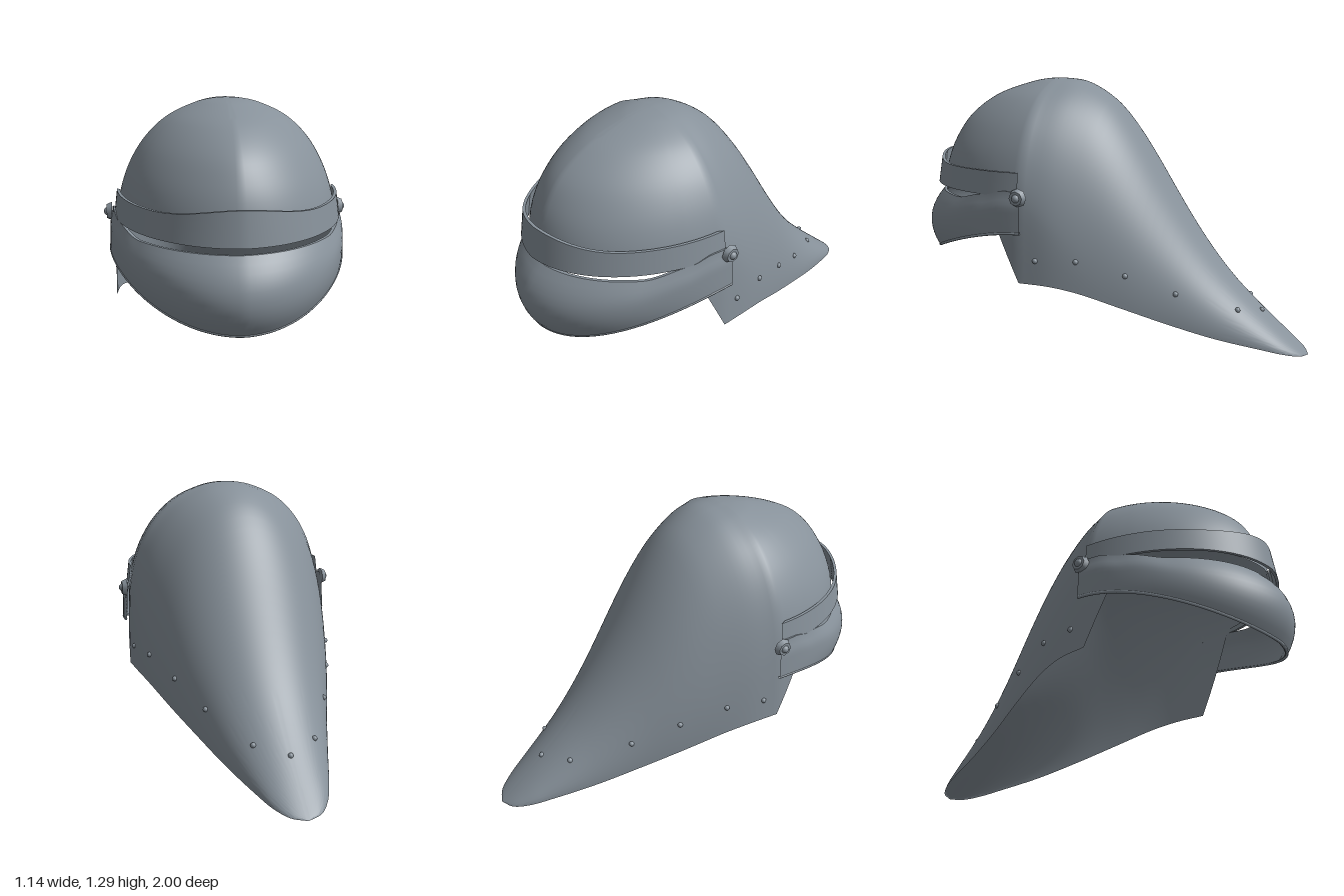
import * as THREE from 'three';
import { toCreasedNormals } from 'three/addons/utils/BufferGeometryUtils.js';

const steel = new THREE.MeshStandardMaterial({ color: 0x87919a, side: THREE.DoubleSide });
const { lerp, smoothstep } = THREE.MathUtils;
const TOP = 1.29, CZ = 0.27; // crown height and its z
const curve = pts => new THREE.CatmullRomCurve3(pts.map(p => new THREE.Vector3(...p)));

// parameter in 0..1 where the rising function f reaches the target
function solve(f, target) {
  let lo = 0, hi = 1;
  for (let i = 0; i < 30; i++) {
    const mid = (lo + hi) / 2;
    if (f(mid) < target) lo = mid; else hi = mid;
  }
  return (lo + hi) / 2;
}

// sheet of nu x nv cells; f(u, v) gives [x, y, z], u from -1 to 1, v from 0 to 1
function sheet(nu, nv, f, crease) {
  const pos = [], index = [];
  for (let i = 0; i <= nu; i++)
    for (let j = 0; j <= nv; j++) pos.push(...f((2 * i) / nu - 1, j / nv));
  for (let i = 0; i < nu; i++)
    for (let j = 0; j < nv; j++) {
      const a = i * (nv + 1) + j, b = a + nv + 1;
      index.push(a, a + 1, b, b, a + 1, b + 1);
    }
  const g = new THREE.BufferGeometry();
  g.setAttribute('position', new THREE.Float32BufferAttribute(pos, 3));
  g.setIndex(index);
  return toCreasedNormals(g, crease);
}

// skull profiles: (side reach, height, front reach) and (back reach, height)
const sideFront = curve([
  [0, 1.29, 0], [0.07, 1.285, 0.075], [0.14, 1.269, 0.16], [0.282, 1.2, 0.36], [0.383, 1.1, 0.5],
  [0.443, 1, 0.57], [0.48, 0.9, 0.61], [0.505, 0.78, 0.632], [0.516, 0.6, 0.636], [0.52, 0.36, 0.64]]);
const back = curve([
  [0, 1.29, 0], [0.12, 1.275, 0], [0.27, 1.19, 0], [0.37, 1.08, 0], [0.47, 0.935, 0], [0.57, 0.775, 0],
  [0.67, 0.62, 0], [0.77, 0.48, 0], [0.87, 0.36, 0], [0.97, 0.26, 0], [1.07, 0.17, 0], [1.27, 0, 0]]);
// lower rim from the cheek to the tip of the tail
const rim = curve([
  [0.52, 0.36, 0.27], [0.503, 0.352, 0.13], [0.47, 0.325, 0], [0.4, 0.252, -0.2], [0.32, 0.174, -0.4],
  [0.245, 0.106, -0.6], [0.17, 0.054, -0.8], [0.125, 0.027, -0.9], [0.07, 0.008, -0.97], [0, 0, -1]]);

const SPLIT = 0.45; // share of the half skull lying ahead of the ears
function skullPoint(p, t) {
  const q = Math.abs(p), sign = Math.sign(p);
  const s = Math.sin((t * Math.PI) / 2);
  const tau = t === 0 ? 0 : t === 1 ? 1 : solve(k => sideFront.getPoint(k).x, 0.52 * s);
  if (q <= SPLIT) {
    // front: level sections with soft ridges ahead and at the sides, cut away for the face
    const a = (q / SPLIT) * Math.PI / 2;
    const cut = Math.min(0.78, 0.36 + 1.33 * Math.cos(a));
    const end = solve(k => -sideFront.getPoint(k).y, -cut);
    const c = sideFront.getPoint(tau * end);
    const f = 1 - lerp(0.025, 0.08, smoothstep(c.y, 0.8, 1.25)) * Math.sin(2 * a);
    return [sign * c.x * Math.sin(a) * f, c.y, CZ + c.z * Math.cos(a) * f];
  }
  // back: upright arches, full at the ears and elliptical along the tail
  const r = rim.getPoint((q - SPLIT) / (1 - SPLIT));
  const top = Math.max(r.y, back.getPoint(solve(k => back.getPoint(k).x, CZ - r.z)).y);
  const full = (TOP - sideFront.getPoint(tau).y) / 0.93;
  const round = 1 - Math.cos((t * Math.PI) / 2);
  const v = lerp(round, full, Math.pow(Math.max(0, (r.z + 0.05) / (CZ + 0.05)), 1.5));
  return [sign * s * r.x, lerp(top, r.y, v), r.z];
}

// visor plate with thickness: section(a, v) gives half width, height, depth
const visorPoint = (centreZ, section, a, v, inset) => {
  const [w, y, d] = section(Math.abs(a), v);
  const point = 1 - 0.04 * Math.sin(Math.abs(a)); // slightly pointed in plan
  return [(w - inset) * Math.sin(a), y, centreZ + (d - inset) * Math.cos(a) * point];
};
function visorPlate(centreZ, section) {
  const rows = 10, n = 2 * rows + 2;
  return sheet(72, n, (u, k) => {
    const j = Math.round(k * n);
    const inner = j > rows && j < n; // down the outside, up the inside
    const v = j === n ? 0 : inner ? (n - 1 - j) / rows : j / rows;
    return visorPoint(centreZ, section, (u * Math.PI) / 2, v, inner && Math.abs(u) < 1 ? 0.014 : 0);
  }, 0.7);
}

// brow plate above the eye slit
function browSection(a, v) {
  const top = 0.875 + 0.04 * (1 - smoothstep(0.5 * Math.sin(a), 0, 0.36));
  return [0.505 + 0.014 * v, lerp(top, 0.765, v), 0.65 + 0.022 * v];
}

// bulging face plate below the eye slit
function faceSection(a, v) {
  const top = 0.728 + 0.037 * smoothstep(a, 0.9, 1.24) + 0.025 * smoothstep(a, 1.25, 1.42);
  const bottom = 0.6 - 0.2 * Math.pow(Math.max(Math.cos(a), 0), 1.75);
  const width = 0.525 + 0.012 * smoothstep(v, 0, 0.4) + 0.007 * v;
  return [width, lerp(top, bottom, v), 0.66 + 0.04 * v + 0.28 * v * (1 - v)];
}

export function createModel() {
  const model = new THREE.Group();
  model.name = 'helmet';
  const add = (name, geometry, parent = model) => {
    const m = new THREE.Mesh(geometry, steel);
    m.name = name;
    parent.add(m);
    return m;
  };

  add('skullAndTail', sheet(160, 40, skullPoint, 0.9));
  add('browPlate', visorPlate(0.27, browSection));
  add('facePlate', visorPlate(0.25, faceSection));

  // rolled lower edge of the face plate
  const edge = [];
  for (let i = -16; i <= 16; i++) edge.push(visorPoint(0.25, faceSection, (i / 32) * Math.PI, 1, 0.004));
  add('rolledEdge', new THREE.TubeGeometry(curve(edge), 72, 0.007, 8));

  // visor pivots
  for (const side of [1, -1]) {
    const pivot = new THREE.Group();
    pivot.name = side > 0 ? 'leftPivot' : 'rightPivot';
    pivot.position.set(side * 0.535, 0.765, 0.26);
    pivot.rotation.z = -side * Math.PI / 2;
    add('pivotWasher', new THREE.CylinderGeometry(0.033, 0.044, 0.024, 8), pivot).position.y = 0.008;
    add('pivotButton', new THREE.SphereGeometry(0.02, 16, 10), pivot).position.y = 0.014;
    model.add(pivot);
  }

  // lining rivets: domes on the nearest point of the skull, facing outward
  const at = (p, t) => new THREE.Vector3(...skullPoint(p, t));
  const samples = [];
  for (let i = 0; i < 90; i++)
    for (let j = 0; j < 60; j++) {
      const p = lerp(0.4, 0.99, i / 90), t = j / 60;
      samples.push({ p, t, point: at(p, t) });
    }
  const dome = new THREE.SphereGeometry(0.013, 10, 5, 0, Math.PI * 2, 0, Math.PI / 2);
  const spots = [[0.52, 0.49, 0.18], [0.47, 0.47, 0], [0.395, 0.41, -0.2], [0.28, 0.31, -0.43],
    [0.145, 0.23, -0.67], [0, 0.2, -0.77]];
  for (const spot of spots) {
    const target = new THREE.Vector3(...spot);
    const gap = s => s.point.distanceToSquared(target);
    const { p, t, point } = samples.reduce((best, s) => (gap(s) < gap(best) ? s : best));
    const normal = at(p, t + 0.01).sub(point).cross(at(p + 0.005, t).sub(point)).normalize();
    for (const side of spot[0] ? [1, -1] : [1]) {
      const rivet = add('rivet', dome);
      rivet.position.set(side * point.x, point.y, point.z);
      rivet.quaternion.setFromUnitVectors(new THREE.Vector3(0, 1, 0),
        new THREE.Vector3(side * normal.x, normal.y, normal.z));
    }
  }
  return model;
}
